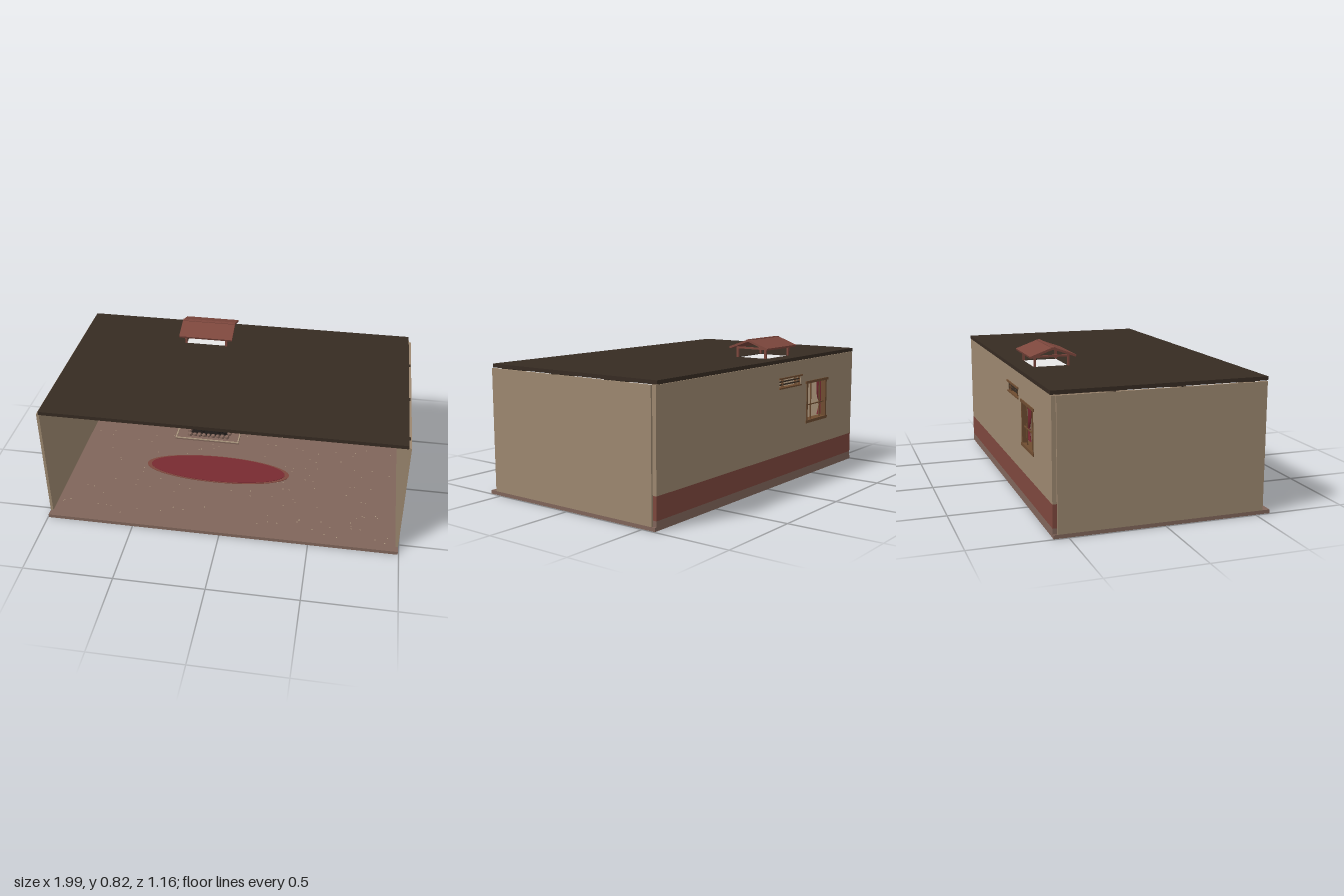
import * as THREE from 'three';

const mat = (name, color, side = THREE.FrontSide) => {
  const m = new THREE.MeshStandardMaterial({ color, side });
  m.name = name;
  return m;
};

export function createModel() {
  const root = new THREE.Group();
  root.name = 'openHall';
  const M = {
    wall: mat('plaster', 0x9c876f),
    roof: mat('darkTimber', 0x362b22),
    floor: mat('clayFloor', 0x80655a),
    red: mat('redOchre', 0x7d473d),
    wood: mat('wood', 0x6e4c30),
    cloth: mat('crimsonCloth', 0x782a31, THREE.DoubleSide),
    pale: mat('parchment', 0xa8957c, THREE.DoubleSide),
    white: mat('skylight', 0xffffff, THREE.DoubleSide),
    ember: mat('ember', 0xa54a30),
    coal: mat('charcoal', 0x1f1a18),
  };

  const group = (name, parent = root) => {
    const g = new THREE.Group();
    g.name = name;
    parent.add(g);
    return g;
  };
  const add = (name, geo, m, x = 0, y = 0, z = 0, parent = root) => {
    const mesh = new THREE.Mesh(geo, m);
    mesh.name = name;
    mesh.position.set(x, y, z);
    parent.add(mesh);
    return mesh;
  };
  // box given by its limits on each axis
  const box = (name, m, x0, x1, y0, y1, z0, z1, parent) =>
    add(name, new THREE.BoxGeometry(x1 - x0, y1 - y0, z1 - z0), m,
      (x0 + x1) / 2, (y0 + y1) / 2, (z0 + z1) / 2, parent);
  // round bar between two points
  const bar = (name, m, a, b, r, parent, sides = 8) => {
    const p = new THREE.Vector3(...a), d = new THREE.Vector3(...b).sub(p);
    const mesh = add(name, new THREE.CylinderGeometry(r, r, d.length(), sides), m, 0, 0, 0, parent);
    mesh.position.copy(p).addScaledVector(d, 0.5);
    mesh.quaternion.setFromUnitVectors(new THREE.Vector3(0, 1, 0), d.normalize());
    return mesh;
  };
  // rectangular panel with rectangular holes, each [x0, x1, y0, y1]
  const panel = (outer, holes, depth) => {
    const pts = ([a, b, c, d]) => [[a, c], [b, c], [b, d], [a, d]].map(p => new THREE.Vector2(...p));
    const s = new THREE.Shape(pts(outer));
    holes.forEach(h => s.holes.push(new THREE.Path(pts(h).reverse())));
    return new THREE.ExtrudeGeometry(s, { depth, bevelEnabled: false });
  };
  let seed = 7;
  const rand = () => (seed = (seed * 16807) % 2147483647) / 2147483647;

  // floor slab with scattered pale flecks
  box('floor', M.floor, -0.995, 0.995, 0, 0.02, -0.575, 0.58);
  const flecks = new THREE.InstancedMesh(new THREE.CircleGeometry(0.004, 5).rotateX(-Math.PI / 2), M.pale, 160);
  flecks.name = 'floorFlecks';
  for (let i = 0; i < 160; i++) {
    flecks.setMatrixAt(i, new THREE.Matrix4().makeTranslation((rand() - 0.5) * 1.9, 0.0212, (rand() - 0.5) * 1.06));
  }
  root.add(flecks);

  // walls
  for (const s of [-1, 1]) {
    box('sideWall', M.wall, s * 0.9875 - 0.0075, s * 0.9875 + 0.0075, 0.02, 0.695, -0.555, 0.54);
  }
  const win = [-0.64, -0.42, 0.33, 0.555], vent = [-0.34, -0.105, 0.555, 0.605];
  add('backWall', panel([-0.985, 0.985, 0.17, 0.695], [win, vent], 0.022), M.wall, 0, 0, -0.577);
  box('backWallBand', M.red, -0.985, 0.985, 0.05, 0.17, -0.577, -0.555);
  box('backWallBase', M.floor, -0.985, 0.985, 0.02, 0.05, -0.577, -0.555);

  // flat roof with a smoke opening
  const roof = add('roof', panel([-0.98, 0.98, -0.55, 0.58], [[-0.34, -0.1, 0.3, 0.49]], 0.02), M.roof, 0, 0.697, 0);
  roof.rotation.x = -Math.PI / 2;
  const light = add('skylightPane', new THREE.PlaneGeometry(0.24, 0.19), M.white, -0.22, 0.714, -0.395);
  light.rotation.x = -Math.PI / 2;
  for (const z of [-0.275, 0.087, 0.457]) {
    box('roofBeam', M.roof, -0.99, 0.99, 0.672, 0.698, z - 0.013, z + 0.013);
  }

  // posts and wall beam
  box('wallBeam', M.wood, -0.98, 0.98, 0.655, 0.672, -0.555, -0.525);
  for (const x of [-0.965, -0.675, 0.295, 0.962]) {
    const g = group('post');
    box('postShaft', M.wood, x - 0.012, x + 0.012, 0.06, 0.645, -0.555, -0.528, g);
    box('postCap', M.wood, x - 0.018, x + 0.018, 0.643, 0.656, -0.555, -0.52, g);
    box('postBase', M.floor, x - 0.018, x + 0.018, 0.02, 0.062, -0.555, -0.515, g);
  }

  // gabled smoke vent above the roof
  const hood = group('smokeHood');
  for (const x of [-0.343, -0.1]) {
    for (const z of [-0.485, -0.3]) box('hoodPost', M.red, x - 0.006, x + 0.006, 0.715, 0.782, z - 0.006, z + 0.006, hood);
    box('hoodRail', M.red, x - 0.005, x + 0.005, 0.766, 0.777, -0.485, -0.3, hood);
  }
  for (const s of [-1, 1]) {
    const slope = add('hoodSlope', new THREE.BoxGeometry(0.318, 0.012, 0.134), M.red, -0.22, 0.795, -0.392 + s * 0.062, hood);
    slope.rotation.x = s * 0.345;
  }
  box('hoodRidge', M.red, -0.379, -0.061, 0.812, 0.823, -0.403, -0.381, hood);

  // window frame and bars
  const w = group('window');
  box('lintel', M.wood, -0.665, -0.398, 0.55, 0.565, -0.582, -0.535, w);
  box('sill', M.wood, -0.658, -0.405, 0.315, 0.332, -0.582, -0.53, w);
  for (const x of [-0.643, -0.417]) box('jamb', M.wood, x - 0.007, x + 0.007, 0.33, 0.555, -0.58, -0.55, w);
  for (const x of [-0.585, -0.48]) box('windowBar', M.wood, x - 0.003, x + 0.003, 0.33, 0.555, -0.569, -0.563, w);
  box('windowCrossBar', M.wood, -0.64, -0.42, 0.417, 0.423, -0.569, -0.563, w);

  // pleated curtains, gathered by a tie
  const edge = [[0, 0.065], [0.3, 0.062], [0.5, 0.05], [0.68, 0.02], [0.75, 0.022], [1, 0.052]];
  const widthAt = t => {
    const i = Math.max(1, edge.findIndex(e => e[0] >= t));
    const [a, b] = [edge[i - 1], edge[i]];
    return a[1] + (b[1] - a[1]) * (t - a[0]) / (b[0] - a[0]);
  };
  for (const s of [-1, 1]) {
    const geo = new THREE.PlaneGeometry(1, 1, 24, 16);
    const p = geo.attributes.position;
    for (let i = 0; i < p.count; i++) {
      const u = p.getX(i) + 0.5, t = THREE.MathUtils.clamp(0.5 - p.getY(i), 0, 1);
      const k = s < 0 ? u : 1 - u;
      p.setXYZ(i, -0.53 + s * (0.122 - k * widthAt(t)), 0.55 - 0.21 * t, -0.542 + 0.005 * Math.sin(k * 25));
    }
    geo.computeVertexNormals();
    add('curtain', geo, M.cloth, 0, 0, 0, w);
    box('curtainTie', M.red, -0.53 + s * 0.112 - 0.012, -0.53 + s * 0.112 + 0.012, 0.398, 0.405, -0.549, -0.534, w);
  }
  bar('curtainRod', M.wood, [-0.66, 0.552, -0.54], [-0.4, 0.552, -0.54], 0.004, w);

  // slatted wall vent
  const v = group('wallVent');
  box('ventTop', M.wood, -0.35, -0.095, 0.604, 0.613, -0.584, -0.546, v);
  box('ventBottom', M.wood, -0.345, -0.1, 0.549, 0.557, -0.582, -0.548, v);
  for (const y of [0.572, 0.589]) box('ventSlat', M.roof, -0.34, -0.105, y - 0.003, y + 0.003, -0.572, -0.56, v);
  for (const x of [-0.339, -0.295, -0.15, -0.106]) box('ventUpright', M.wood, x - 0.003, x + 0.003, 0.555, 0.606, -0.573, -0.559, v);

  // hanging wall lamp
  const lamp = group('wallLamp');
  box('lampPlate', M.wood, -0.008, 0.016, 0.41, 0.485, -0.555, -0.547, lamp);
  bar('lampArm', M.wood, [0.004, 0.47, -0.548], [0.03, 0.475, -0.5], 0.004, lamp);
  const bowl = [[0.001, 0], [0.02, 0.004], [0.034, 0.016], [0.04, 0.03], [0.035, 0.028], [0.001, 0.02]];
  add('lampBowl', new THREE.LatheGeometry(bowl.map(p => new THREE.Vector2(...p)), 18), M.red, 0.03, 0.368, -0.5, lamp);
  for (let i = 0; i < 3; i++) {
    const a = i * Math.PI * 2 / 3;
    bar('lampChain', M.coal, [0.03, 0.475, -0.5], [0.03 + 0.037 * Math.cos(a), 0.396, -0.5 + 0.037 * Math.sin(a)], 0.0015, lamp, 5);
  }
  add('lampFlame', new THREE.ConeGeometry(0.006, 0.022, 8), M.ember, 0.03, 0.4, -0.5, lamp);

  // shelf with books, scrolls and a chest
  const shelf = group('shelf');
  box('shelfBoard', M.wood, 0.362, 0.795, 0.34, 0.354, -0.555, -0.45, shelf);
  for (const x of [0.418, 0.737]) {
    box('bracketUpright', M.wood, x - 0.01, x + 0.01, 0.255, 0.34, -0.555, -0.54, shelf);
    box('bracketArm', M.wood, x - 0.012, x + 0.012, 0.322, 0.34, -0.555, -0.47, shelf);
    bar('bracketBrace', M.roof, [x, 0.268, -0.545], [x, 0.328, -0.48], 0.007, shelf, 4);
  }
  [[0.385, 0.488, M.cloth], [0.39, 0.482, M.pale], [0.386, 0.478, M.wood], [0.398, 0.485, M.roof]].forEach(([a, b, m], i) =>
    box('book', m, a, b, 0.354 + i * 0.013, 0.366 + i * 0.013, -0.54, -0.475, shelf));
  for (const [x, y] of [[0.527, 0.367], [0.554, 0.367], [0.54, 0.391]]) {
    bar('scroll', M.pale, [x, y, -0.545], [x, y, -0.465], 0.013, shelf, 14);
  }
  box('chestBody', M.wood, 0.604, 0.752, 0.354, 0.415, -0.545, -0.465, shelf);
  box('chestLid', M.wood, 0.598, 0.758, 0.416, 0.43, -0.549, -0.461, shelf);
  for (const x of [0.625, 0.731]) box('chestStrap', M.roof, x - 0.006, x + 0.006, 0.354, 0.417, -0.546, -0.462, shelf);

  // oval rug with a border
  for (const [r, m, y] of [[1, M.red, 0.022], [0.94, M.cloth, 0.0245]]) {
    const rug = add('rug', new THREE.CylinderGeometry(r, r, 0.003, 64), m, -0.105, y, 0.015);
    rug.scale.set(0.44, 1, 0.128);
  }

  // hearth slab, kerb, coals and fire
  const hearth = group('hearth');
  box('hearthSlab', M.floor, -0.43, -0.02, 0.02, 0.028, -0.51, -0.26, hearth);
  for (const z of [-0.505, -0.265]) box('hearthKerb', M.pale, -0.43, -0.02, 0.027, 0.032, z - 0.004, z + 0.004, hearth);
  for (const x of [-0.426, -0.024]) box('hearthKerb', M.pale, x - 0.004, x + 0.004, 0.027, 0.032, -0.51, -0.26, hearth);
  box('ashBed', M.coal, -0.34, -0.1, 0.028, 0.04, -0.455, -0.305, hearth);
  for (let i = 0; i < 9; i++) {
    const x = -0.34 + i * 0.03;
    for (const z of [-0.46, -0.3]) add('hearthStone', new THREE.DodecahedronGeometry(0.014 + 0.004 * rand()), M.floor, x, 0.04, z, hearth);
  }
  for (const x of [-0.35, -0.09]) {
    for (const z of [-0.42, -0.38, -0.34]) add('hearthStone', new THREE.DodecahedronGeometry(0.016), M.floor, x, 0.04, z, hearth);
  }
  for (let i = 0; i < 40; i++) {
    add('coalLump', new THREE.IcosahedronGeometry(0.008 + 0.006 * rand(), 0), i % 3 ? M.coal : M.ember,
      -0.33 + 0.22 * rand(), 0.045 + 0.012 * rand(), -0.44 + 0.12 * rand(), hearth);
  }
  for (let i = 0; i < 6; i++) {
    const x = -0.31 + i * 0.035;
    bar('burningLog', i % 2 ? M.wood : M.ember, [x, 0.055, -0.43], [x + 0.035, 0.082, -0.34], 0.009, hearth);
    add('flame', new THREE.ConeGeometry(0.01, 0.04, 6), M.ember, x + 0.01, 0.08 + 0.01 * rand(), -0.385, hearth);
  }

  // stacked firewood and a small barrel
  const stack = group('firewood');
  for (let row = 0; row < 4; row++) {
    for (let j = 0; j < 2; j++) {
      bar('log', (row + j) % 3 ? M.wood : M.red, [-0.36 + 0.012 * rand(), 0.036 + row * 0.027, -0.538 + j * 0.028],
        [-0.078 - 0.012 * rand(), 0.036 + row * 0.027, -0.538 + j * 0.028], 0.0135, stack);
    }
  }
  for (const x of [-0.345, -0.09]) box('stackStake', M.wood, x - 0.005, x + 0.005, 0.02, 0.14, -0.498, -0.488, stack);
  const staves = [[0, 0], [0.019, 0], [0.025, 0.022], [0.025, 0.046], [0.019, 0.068], [0, 0.068]];
  add('barrel', new THREE.LatheGeometry(staves.map(p => new THREE.Vector2(...p)), 16), M.wood, -0.055, 0.028, -0.46);
  for (const y of [0.05, 0.074]) {
    add('barrelHoop', new THREE.TorusGeometry(0.025, 0.002, 6, 20), M.roof, -0.055, y, -0.46).rotation.x = Math.PI / 2;
  }
  return root;
}
